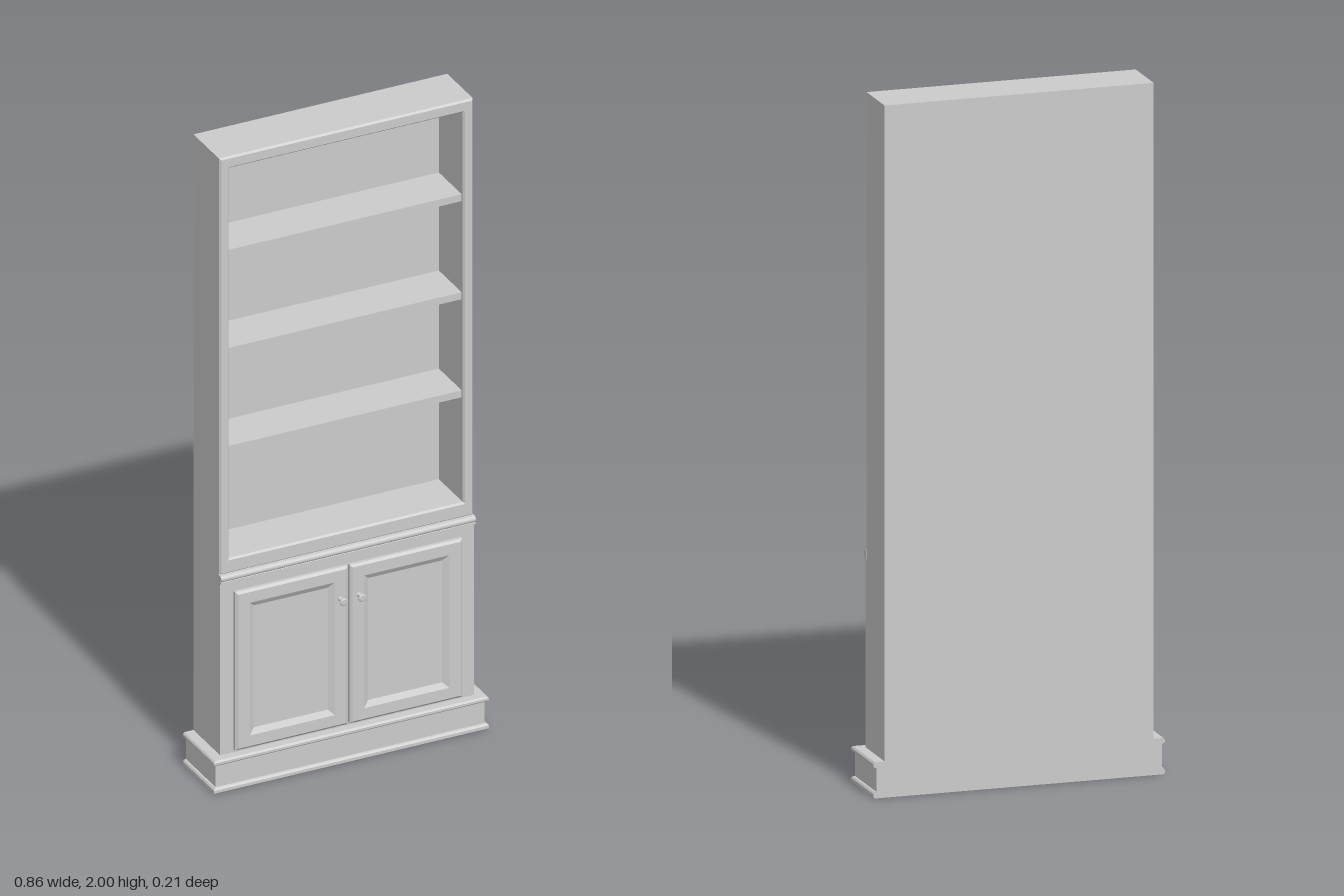
import * as THREE from 'three';

const material = new THREE.MeshStandardMaterial({ color: 0xcccccc, flatShading: true });

function add(parent, name, geometry, x = 0, y = 0, z = 0) {
  const mesh = new THREE.Mesh(geometry, material);
  mesh.name = name;
  mesh.position.set(x, y, z);
  parent.add(mesh);
  return mesh;
}

// Joins rectangular rings [x0, x1, y0, y1, z] into one closed solid, capped at both ends.
function loft(rings) {
  const corners = rings.map(([x0, x1, y0, y1, z]) => [[x0, y0, z], [x1, y0, z], [x1, y1, z], [x0, y1, z]]);
  const positions = [];
  const quad = (a, b, c, d) => positions.push(...a, ...b, ...c, ...a, ...c, ...d);
  const [b0, b1, b2, b3] = corners[0];
  quad(b3, b2, b1, b0);
  for (let r = 0; r < corners.length - 1; r++) {
    const a = corners[r], b = corners[r + 1];
    for (let i = 0; i < 4; i++) {
      const j = (i + 1) % 4;
      quad(a[i], a[j], b[j], b[i]);
    }
  }
  quad(...corners[corners.length - 1]);
  const geometry = new THREE.BufferGeometry();
  geometry.setAttribute('position', new THREE.Float32BufferAttribute(positions, 3));
  geometry.computeVertexNormals();
  return geometry;
}

// Rectangle shrunk by an inset, at depth z
const ring = ([x0, x1, y0, y1], inset, z) => [x0 + inset, x1 - inset, y0 + inset, y1 - inset, z];

export function createModel() {
  const model = new THREE.Group();
  model.name = 'bookcase';
  const back = -0.104;

  // Open upper case with a bevelled face frame
  const outer = [-0.397, 0.397, 0.675, 2];
  const opening = [-0.371, 0.371, 0.717, 1.968];
  add(model, 'upperCase', loft([
    ring(outer, 0, back), ring(outer, 0, 0.054), ring(outer, 0.005, 0.06),
    ring(opening, 0, 0.06), ring(opening, 0.005, 0.054), ring(opening, 0.005, -0.095),
  ]));

  // Shelves
  for (const y of [1.063, 1.375, 1.687]) {
    add(model, 'shelf', new THREE.BoxGeometry(0.734, 0.022, 0.144), 0, y, -0.024);
  }

  // Closed lower case
  add(model, 'lowerCase', loft([
    [-0.397, 0.397, 0.05, 0.675, back], [-0.397, 0.397, 0.05, 0.675, 0.063],
  ]));

  // Waist moulding: a rounded profile run across the front
  const profile = new THREE.Shape();
  profile.moveTo(0.05, 0.65);
  profile.lineTo(0.069, 0.65);
  profile.lineTo(0.069, 0.656);
  profile.absarc(0.063, 0.666, 0.01, -Math.PI / 3, Math.PI / 2, false);
  profile.lineTo(0.05, 0.676);
  const waist = new THREE.ExtrudeGeometry(profile, { depth: 0.796, bevelEnabled: false, curveSegments: 6 });
  waist.rotateY(-Math.PI / 2);
  add(model, 'waistMoulding', waist, 0.398);

  // Plinth with rounded rims at its foot and top, flush at the back
  const plinthSteps = [
    [0.426, 0], [0.43, 0.004], [0.43, 0.013], [0.426, 0.018], [0.421, 0.019],
    [0.421, 0.088], [0.426, 0.089], [0.43, 0.093], [0.43, 0.1], [0.426, 0.105],
  ];
  const plinth = loft(plinthSteps.map(([x, y]) => [-x, x, -(x - 0.339), -back, y]));
  plinth.rotateX(-Math.PI / 2);
  add(model, 'plinth', plinth);

  // Pair of doors with chamfered edges, sunken panels and turned knobs
  const knobProfile = [[0, 0], [0.007, 0], [0.007, 0.002], [0.004, 0.005], [0.004, 0.018], [0.012, 0.02], [0.012, 0.024], [0.009, 0.026], [0, 0.026]]
    .map(([r, h]) => new THREE.Vector2(r, h));
  const door = [-0.176, 0.176, 0.114, 0.618];
  const panel = [-0.133, 0.133, 0.155, 0.577];
  for (const side of [-1, 1]) {
    const group = new THREE.Group();
    group.name = side > 0 ? 'leftDoor' : 'rightDoor';
    add(group, 'doorLeaf', loft([
      ring(door, 0, 0.06), ring(door, 0, 0.072), ring(door, 0.007, 0.078),
      ring(panel, 0, 0.078), ring(panel, 0.017, 0.068),
    ]), side * 0.179);
    const knob = new THREE.LatheGeometry(knobProfile, 8);
    knob.rotateX(Math.PI / 2);
    add(group, 'knob', knob, side * 0.029, 0.521, 0.077);
    model.add(group);
  }
  return model;
}
